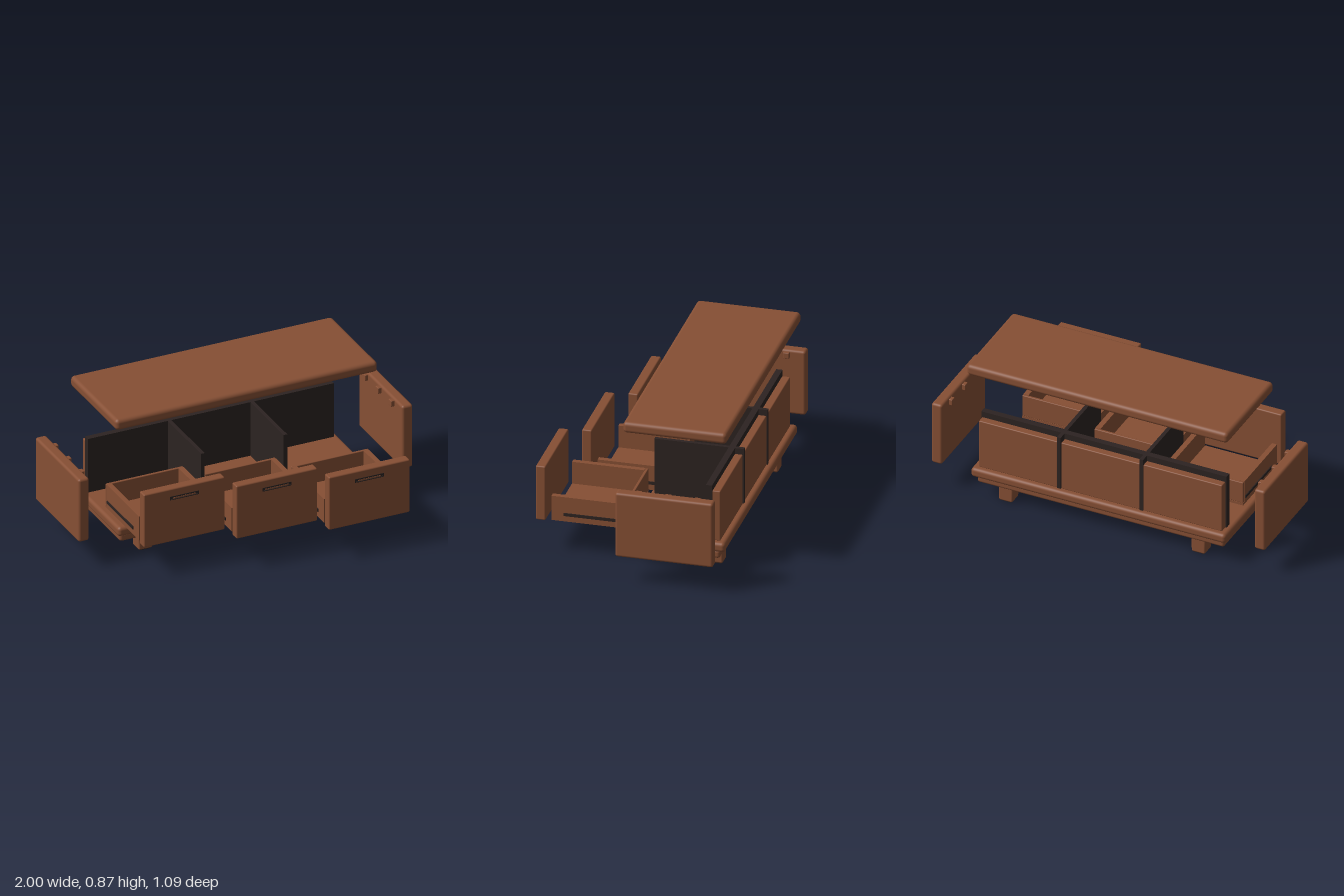
import * as THREE from 'three';
import { RoundedBoxGeometry } from 'three/addons/geometries/RoundedBoxGeometry.js';

const wood = new THREE.MeshStandardMaterial({ color: 0x864f34 });
wood.name = 'wood';
const dark = new THREE.MeshStandardMaterial({ color: 0x2c2321 });
dark.name = 'dark panel';

// Box given by its min and max corners; r > 0 rounds the edges.
function block(parent, name, material, [x0, y0, z0], [x1, y1, z1], r = 0) {
  const size = [x1 - x0, y1 - y0, z1 - z0];
  const geometry = r > 0 ? new RoundedBoxGeometry(...size, 3, r) : new THREE.BoxGeometry(...size);
  const mesh = new THREE.Mesh(geometry, material);
  mesh.name = name;
  mesh.position.set((x0 + x1) / 2, (y0 + y1) / 2, (z0 + z1) / 2);
  parent.add(mesh);
  return mesh;
}

function group(parent, name) {
  const g = new THREE.Group();
  g.name = name;
  parent.add(g);
  return g;
}

// Drawer: box open at the front, with its front panel pulled off a little.
function addDrawer(parent, name, x, z) {
  const d = group(parent, name);
  d.position.set(x, 0, z);
  block(d, 'drawerFloor', wood, [-0.23, 0.2, -0.42], [0.23, 0.215, 0]);
  block(d, 'drawerBack', wood, [-0.23, 0.215, -0.42], [0.23, 0.345, -0.404], 0.004);
  for (const s of [-1, 1]) {
    const a = s * 0.2, b = s * 0.23, c = s * 0.235;
    block(d, 'drawerSide', wood, [Math.min(a, b), 0.215, -0.404], [Math.max(a, b), 0.345, 0]);
    block(d, 'drawerSlide', dark, [Math.min(b, c), 0.234, -0.395], [Math.max(b, c), 0.251, -0.07]);
  }
  block(d, 'drawerFront', wood, [-0.242, 0.197, 0.03], [0.242, 0.52, 0.085], 0.008);
  // Recessed-looking grip: dark plate, wooden strip and a small dark lip
  block(d, 'gripPlate', dark, [-0.086, 0.453, 0.08], [0.086, 0.474, 0.087]);
  block(d, 'gripStrip', wood, [-0.068, 0.46, 0.084], [0.068, 0.467, 0.0885]);
  block(d, 'gripLip', dark, [-0.08, 0.456, 0.084], [0.08, 0.46, 0.093]);
}

export function createModel() {
  const model = new THREE.Group();
  model.name = 'explodedSideboard';

  // Raised top with a dark underside panel
  block(model, 'top', wood, [-0.783, 0.801, -0.542], [0.783, 0.866, 0.037], 0.022);
  block(model, 'topUnderside', dark, [-0.735, 0.79, -0.5], [0.735, 0.805, 0]);

  // Two-step base
  block(model, 'baseUpper', wood, [-0.763, 0.14, -0.528], [0.763, 0.197, 0.025], 0.02);
  block(model, 'baseLower', wood, [-0.74, 0.092, -0.495], [0.74, 0.142, -0.007], 0.016);

  // Feet, tapering slightly sideways towards dark pads
  for (const x of [-0.577, 0.577]) {
    for (const z of [-0.065, -0.437]) {
      const foot = block(model, 'foot', wood,
        [x - 0.044, 0.004, z - 0.041], [x + 0.044, 0.1, z + 0.041], 0.01);
      const p = foot.geometry.attributes.position;
      for (let i = 0; i < p.count; i++) {
        p.setX(i, p.getX(i) * (0.92 + 0.08 * (p.getY(i) + 0.048) / 0.096));
      }
      block(model, 'footPad', dark, [x - 0.031, 0, z - 0.032], [x + 0.031, 0.008, z + 0.032]);
    }
  }

  // Side panels moved outwards, with three pegs each
  for (const s of [-1, 1]) {
    const side = group(model, s > 0 ? 'leftSide' : 'rightSide');
    const span = (a, b) => [Math.min(s * a, s * b), Math.max(s * a, s * b)];
    const [x0, x1] = span(0.935, 1);
    block(side, 'sidePanel', wood, [x0, 0.163, -0.525], [x1, 0.546, 0.022], 0.015);
    const [p0, p1] = span(0.916, 0.94);
    for (const z of [-0.42, -0.257, -0.094]) {
      block(side, 'peg', wood, [p0, 0.5, z - 0.017], [p1, 0.536, z + 0.017], 0.004);
    }
  }

  // Dark inner back wall, dividers and outer back panels
  block(model, 'innerBack', dark, [-0.735, 0.195, -0.45], [0.735, 0.525, -0.415]);
  for (const x of [-0.247, 0.247]) {
    block(model, 'divider', dark, [x - 0.011, 0.195, -0.5], [x + 0.011, 0.525, 0]);
  }
  for (const x of [-0.493, 0, 0.493]) {
    block(model, 'backPanel', wood, [x - 0.236, 0.195, -0.495], [x + 0.236, 0.492, -0.449], 0.006);
  }

  // Drawers pulled out by increasing amounts
  addDrawer(model, 'rightDrawer', -0.493, 0.198);
  addDrawer(model, 'middleDrawer', 0, 0.324);
  addDrawer(model, 'leftDrawer', 0.493, 0.45);

  return model;
}
